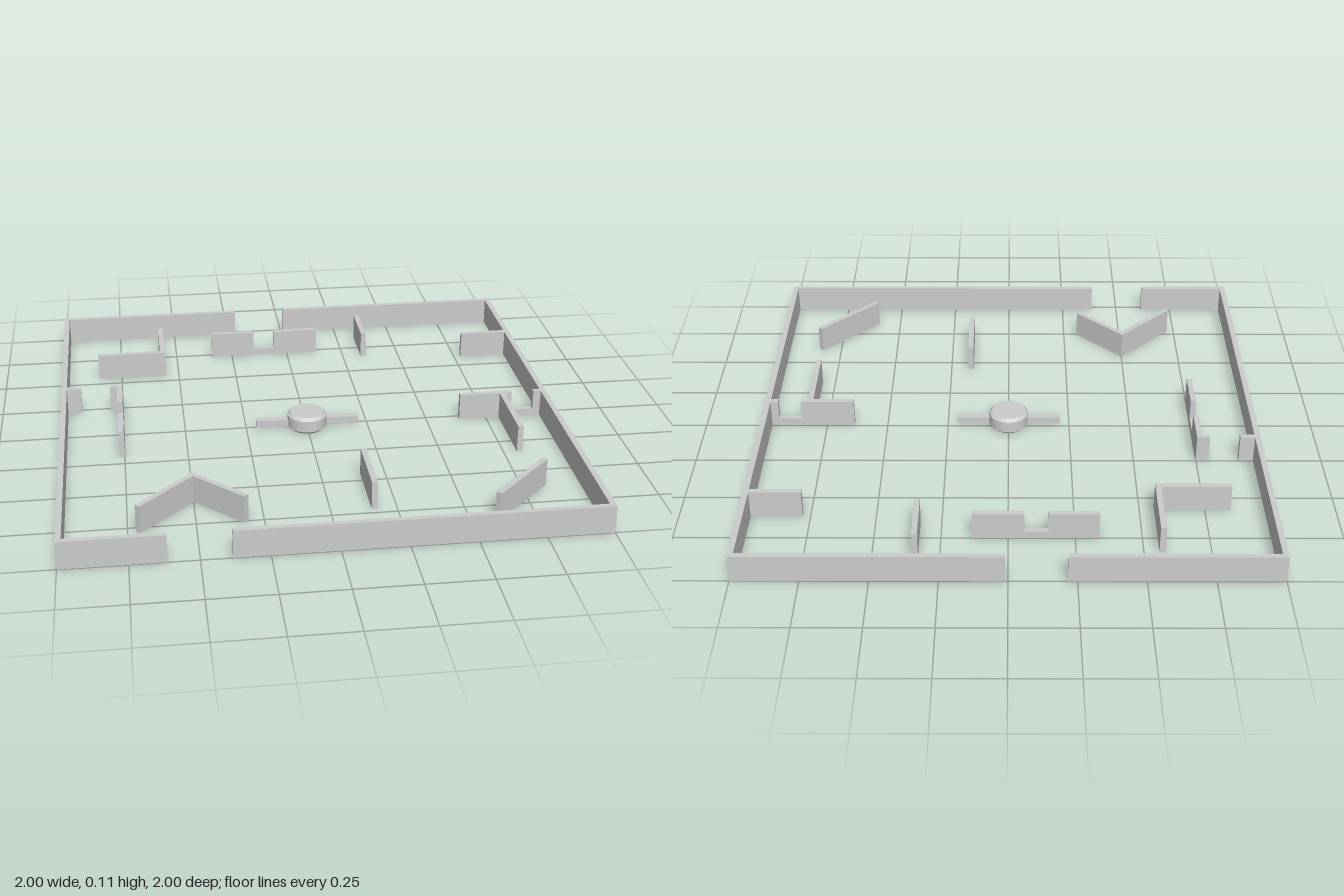
import * as THREE from 'three';

const H = 0.11, T = 0.022, SILL = 0.03;

export function createModel() {
  const model = new THREE.Group();
  const mat = new THREE.MeshStandardMaterial({ color: 0xcccccc, flatShading: true });

  // Upright wall slab whose centre line runs from (x1, z1) to (x2, z2);
  // an optional window [from, to] in distance along the wall is cut down to the sill.
  function wall(name, x1, z1, x2, z2, window) {
    const len = Math.hypot(x2 - x1, z2 - z1);
    const s = new THREE.Shape();
    s.moveTo(0, 0);
    s.lineTo(len, 0);
    s.lineTo(len, H);
    if (window) {
      s.lineTo(window[1], H);
      s.lineTo(window[1], SILL);
      s.lineTo(window[0], SILL);
      s.lineTo(window[0], H);
    }
    s.lineTo(0, H);
    s.closePath();
    const geo = new THREE.ExtrudeGeometry(s, { depth: T, bevelEnabled: false });
    geo.translate(0, 0, -T / 2);
    const mesh = new THREE.Mesh(geo, mat);
    mesh.name = name;
    mesh.position.set(x1, 0, z1);
    mesh.rotation.y = -Math.atan2(z2 - z1, x2 - x1);
    model.add(mesh);
  }

  // Perimeter with a gateway at the front and at the back
  const e = 1 - T / 2;
  wall('outerWallLeft', e, -1, e, 1);
  wall('outerWallRight', -e, -1, -e, 1);
  wall('outerWallBackRight', -1, -e, -0.215, -e);
  wall('outerWallBackLeft', 0.01, -e, 1, -e);
  wall('outerWallFrontRight', -1, e, -0.615, e);
  wall('outerWallFrontLeft', -0.385, e, 1, e);

  // Back corner shelter
  wall('cornerWallSide', -0.568, -0.83, -0.568, -0.555);
  wall('cornerWallFront', -0.848, -0.565, -0.557, -0.565);

  // Back walls
  wall('backWindowWall', -0.34, -0.738, 0.135, -0.738, [0.19, 0.28]);
  wall('backShortWall', 0.341, -0.87, 0.341, -0.655);
  wall('sideStubWall', 0.78, -0.605, 0.985, -0.605);

  // Right room: doorway between two stubs, window in the long wall
  wall('doorStubOuter', -0.985, -0.235, -0.92, -0.235);
  wall('doorStubInner', -0.8, -0.235, -0.75, -0.235);
  wall('rightWindowWall', -0.76, -0.246, -0.76, 0.192, [0.167, 0.265]);

  // Left room
  wall('leftWindowWall', 0.637, 0.02, 0.985, 0.02, [0.218, 0.31]);
  wall('leftDividerWall', 0.815, 0.02, 0.815, 0.34);

  // Front walls
  wall('chevronWallRight', -0.712, 0.782, -0.493, 0.563);
  wall('chevronWallLeft', -0.507, 0.563, -0.315, 0.755);
  wall('frontShortWall', 0.165, 0.445, 0.165, 0.72);
  wall('frontDiagonalWall', 0.602, 0.85, 0.838, 0.612);

  // Central hub: chamfered drum with a bar through it
  const hub = new THREE.Group();
  hub.name = 'centralHub';
  hub.position.z = 0.015;
  const profile = [[0, 0], [0.068, 0], [0.08, 0.011], [0.08, 0.058], [0.068, 0.07], [0, 0.07]]
    .map(([r, y]) => new THREE.Vector2(r, y));
  const drum = new THREE.Mesh(new THREE.LatheGeometry(profile, 32), mat);
  drum.name = 'hubDrum';
  const bar = new THREE.Mesh(new THREE.BoxGeometry(0.42, 0.03, 0.03), mat);
  bar.name = 'hubBar';
  bar.position.y = 0.027;
  hub.add(drum, bar);
  model.add(hub);

  return model;
}
